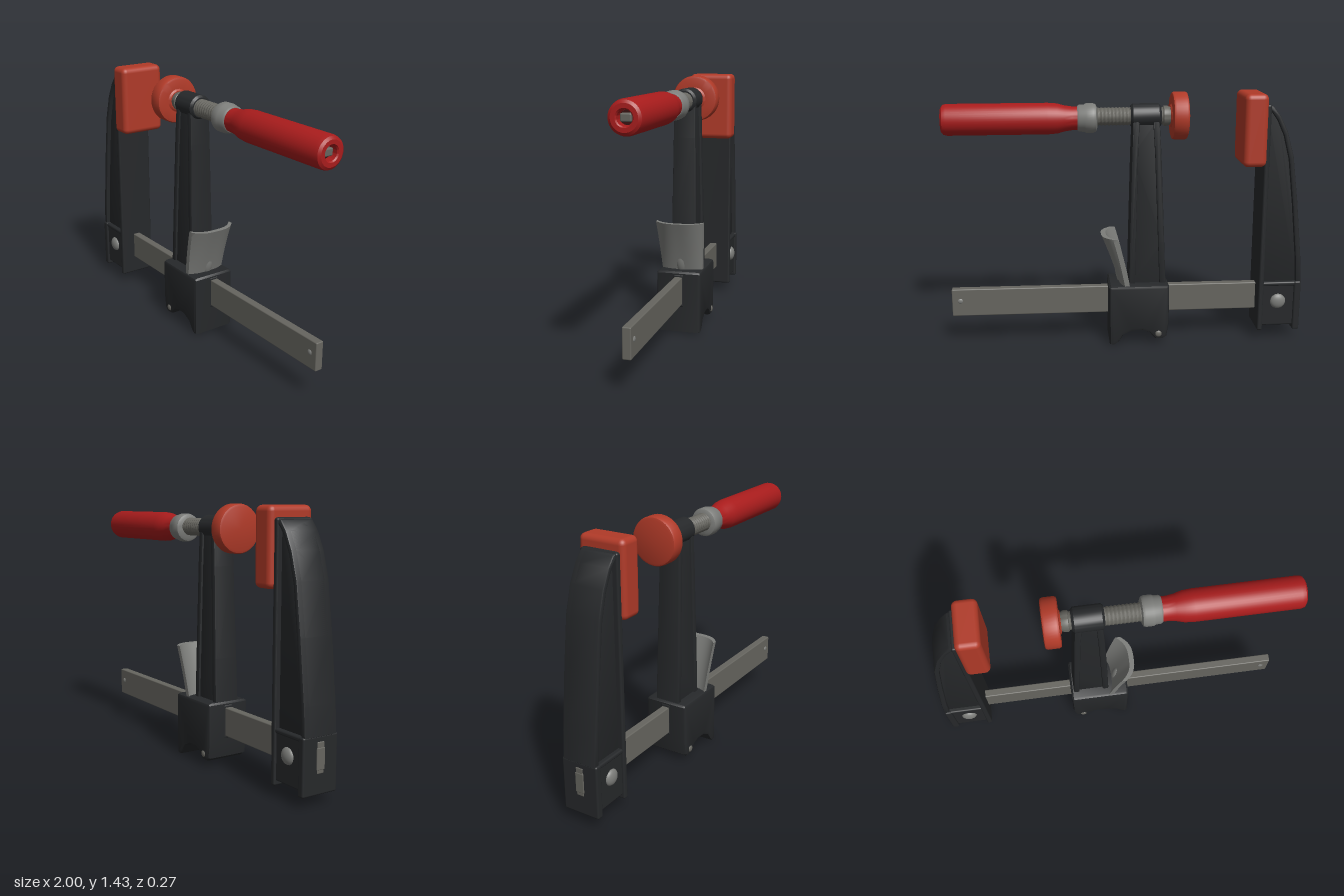
import * as THREE from 'three';
import { toCreasedNormals } from 'three/addons/utils/BufferGeometryUtils.js';
import { RoundedBoxGeometry } from 'three/addons/geometries/RoundedBoxGeometry.js';

const mat = (color) => new THREE.MeshStandardMaterial({ color });

export function createModel() {
  const model = new THREE.Group();
  const iron = mat(0x26282a), steel = mat(0x66655f), zinc = mat(0x7c7d7a);
  const padRed = mat(0xb03a28), gripRed = mat(0xa81c1c), dark = mat(0x3a1010);

  const add = (parent, name, geometry, material, x = 0, y = 0, z = 0) => {
    const mesh = new THREE.Mesh(geometry, material);
    mesh.name = name;
    mesh.position.set(x, y, z);
    parent.add(mesh);
    return mesh;
  };
  const group = (name) => {
    const g = new THREE.Group();
    g.name = name;
    model.add(g);
    return g;
  };
  // Side profile extruded symmetrically in z, with small softened edges
  const plate = (points, half, bevel = 0.008) => {
    const shape = new THREE.Shape(points.map((p) => new THREE.Vector2(...p)));
    const g = new THREE.ExtrudeGeometry(shape, {
      depth: 2 * (half - bevel), bevelThickness: bevel, bevelSize: bevel, bevelOffset: -bevel, bevelSegments: 2,
    });
    g.translate(0, 0, bevel - half);
    return toCreasedNormals(g, 0.6);
  };
  // Turned part along x, from [x, radius] pairs
  const turned = (pairs, sides = 40) => {
    const g = new THREE.LatheGeometry(pairs.map(([x, r]) => new THREE.Vector2(r, x)), sides);
    return toCreasedNormals(g.rotateZ(-Math.PI / 2), 0.6);
  };
  const box = (w, h, d, r = 0.01) => new RoundedBoxGeometry(w, h, d, 3, r);
  // Domed rivet on both faces
  const rivets = (parent, name, x, y, z, r, material) => {
    for (const s of [1, -1]) {
      const g = new THREE.SphereGeometry(r, 20, 8, 0, Math.PI * 2, 0, Math.PI / 2);
      g.scale(1, 0.55, 1).rotateX((s * Math.PI) / 2);
      add(parent, name, g, material, x, y, s * z);
    }
  };

  // Flat rail
  const rail = group('rail');
  add(rail, 'bar', box(1.995, 0.16, 0.045, 0.006), steel, 0, 0.25, 0).rotation.z = 0.005;
  rivets(rail, 'barStopPin', 0.95, 0.265, 0.02, 0.016, zinc);

  // Fixed jaw: web between a curved back flange and a straight front flange
  const fixedJaw = group('fixedJaw');
  const back = [[-0.995, 0.35], [-0.985, 0.5], [-0.95, 0.82], [-0.915, 1.08], [-0.875, 1.22], [-0.83, 1.31], [-0.79, 1.36], [-0.75, 1.375]];
  const inner = back.map(([x, y], i) => [x + 0.03 - 0.03 * (i / 7) ** 2, y - 0.035 * (i / 7)]);
  add(fixedJaw, 'jawWeb', plate([...back].reverse().concat([[-0.98, 0.33], [-0.76, 0.33]]), 0.078), iron);
  add(fixedJaw, 'backFlange', plate([...inner, ...[...back].reverse()], 0.1), iron);
  add(fixedJaw, 'frontFlange', box(0.03, 1.31, 0.216), iron, -0.763, 0.715, 0);
  add(fixedJaw, 'jawFoot', box(0.22, 0.26, 0.19), iron, -0.87, 0.215, 0);
  add(fixedJaw, 'footBackEdge', box(0.04, 0.295, 0.214), iron, -0.975, 0.207, 0);
  add(fixedJaw, 'footTopEdge', box(0.23, 0.025, 0.206), iron, -0.87, 0.34, 0);
  add(fixedJaw, 'barEnd', box(0.01, 0.11, 0.05, 0.004), steel, -0.995, 0.24, 0);
  rivets(fixedJaw, 'footRivet', -0.865, 0.235, 0.092, 0.045, zinc);
  add(fixedJaw, 'fixedPad', box(0.13, 0.4, 0.265, 0.03), padRed, -0.692, 1.23, -0.003);

  // Sliding jaw: saddle on the rail
  const slidingJaw = group('slidingJaw');
  const saddle = [[-0.23, 0.13], [-0.218, 0.05], [-0.195, 0.033], [-0.155, 0.035], [-0.12, 0.075], [-0.08, 0.09], [-0.02, 0.088],
    [0.03, 0.065], [0.06, 0.02], [0.085, 0.003], [0.108, 0.01], [0.11, 0.35], [0.1, 0.36], [-0.22, 0.36], [-0.23, 0.35]];
  add(slidingJaw, 'saddle', plate(saddle, 0.127, 0.018), iron);
  rivets(slidingJaw, 'saddlePin', -0.17, 0.07, 0.123, 0.02, steel);
  add(slidingJaw, 'barSlotRim', box(0.345, 0.19, 0.06), iron, -0.06, 0.25, 0);

  // Upright arm, tapering in depth towards the top
  const taper = (g) => {
    const p = g.attributes.position;
    for (let i = 0; i < p.count; i++) p.setZ(i, p.getZ(i) * (1.06 - 0.2 * (p.getY(i) - 0.36)));
    return toCreasedNormals(g, 0.6);
  };
  const armBack = [[-0.215, 0.34], [-0.205, 0.6], [-0.185, 1.1], [-0.172, 1.3]];
  const armFront = [[-0.005, 0.34], [-0.01, 0.6], [-0.022, 1.1], [-0.03, 1.3]];
  const shifted = (line, dx) => line.map(([x, y]) => [x + dx, y]);
  add(slidingJaw, 'armWeb', taper(plate([...armFront, ...[...armBack].reverse()], 0.058)), iron);
  add(slidingJaw, 'armBackFlange', taper(plate([...shifted(armBack, 0.035), ...[...armBack].reverse()], 0.07)), iron);
  add(slidingJaw, 'armFrontFlange', taper(plate([...armFront, ...shifted(armFront, -0.035).reverse()], 0.07)), iron);
  add(slidingJaw, 'screwCollar', turned([[-0.185, 0], [-0.185, 0.055], [-0.172, 0.067], [-0.03, 0.067], [-0.018, 0.055], [-0.018, 0]]), iron, 0, 1.305, 0);

  // Release lever: a shell bowed outwards, leaning and widening upwards
  const lever = new THREE.BoxGeometry(1, 1, 1, 1, 10, 24);
  const lp = lever.attributes.position;
  for (let i = 0; i < lp.count; i++) {
    const t = lp.getY(i) + 0.5, w = lp.getZ(i) * 2;
    const bow = (0.025 + 0.035 * t) * (1 - Math.abs(w) ** 3);
    const x = 0.005 + 0.05 * t + 0.02 * t * t + bow + lp.getX(i) * 0.028;
    lp.setXYZ(i, x, 0.345 + 0.295 * t, w * (0.115 + 0.02 * t));
  }
  add(slidingJaw, 'releaseLever', toCreasedNormals(lever, 0.7), zinc);
  const rib = new THREE.SphereGeometry(0.03, 20, 12).scale(0.7, 2.2, 1);
  add(slidingJaw, 'leverRib', rib, zinc, 0.045, 0.4, 0).rotation.z = -0.2;

  // Screw spindle, with thread ridges, and its swivel pad
  const spindle = group('spindle');
  spindle.position.y = 1.303;
  const thread = [[-0.25, 0]];
  for (let i = 0; i <= 44; i++) thread.push([-0.25 + i * 0.01, i % 2 ? 0.05 : 0.046]);
  add(spindle, 'screw', turned(thread, 28), steel);
  add(spindle, 'screwNeck', turned([[-0.25, 0.042], [-0.22, 0.055], [-0.2, 0.055], [-0.19, 0.04]]), steel);
  add(spindle, 'swivelPad', turned([[-0.33, 0], [-0.33, 0.115], [-0.326, 0.126], [-0.316, 0.131], [-0.258, 0.131],
    [-0.247, 0.126], [-0.243, 0.115], [-0.243, 0.065], [-0.236, 0.055], [-0.236, 0]], 48), padRed);

  // Grip with ferrule
  const grip = group('grip');
  grip.position.set(0, 1.296, -0.004);
  add(grip, 'ferrule', turned([[0.165, 0], [0.165, 0.06], [0.172, 0.075], [0.185, 0.08], [0.225, 0.08], [0.235, 0.074],
    [0.262, 0.073], [0.272, 0.066], [0.272, 0]]), zinc);
  add(grip, 'handle', turned([[0.265, 0.064], [0.3, 0.064], [0.34, 0.07], [0.38, 0.081], [0.43, 0.085], [0.97, 0.085],
    [0.99, 0.08], [1, 0.066], [1, 0.044], [0.993, 0.038], [0.95, 0.036], [0.95, 0]]), gripRed);
  add(grip, 'handleBore', turned([[0.945, 0], [0.945, 0.035], [0.955, 0.035], [0.955, 0]]), dark);
  add(grip, 'spindleEnd', box(0.03, 0.04, 0.055, 0.008), steel, 0.965, 0, 0);

  return model;
}
